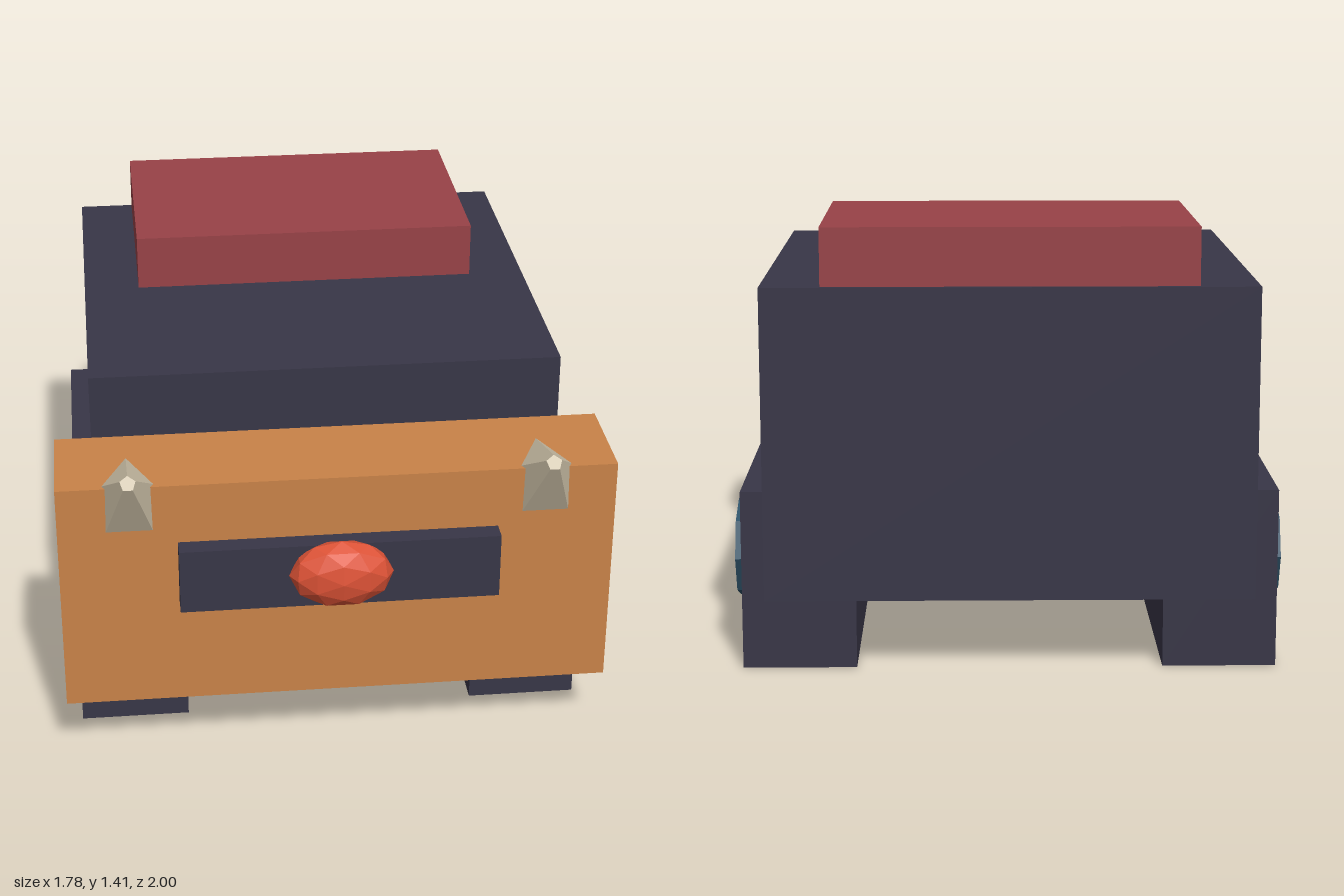
import * as THREE from 'three';

const makeMaterial = (name, color) => {
  const m = new THREE.MeshStandardMaterial({ color, flatShading: true });
  m.name = name;
  return m;
};

export function createModel() {
  const model = new THREE.Group();
  model.name = 'trackedVehicle';
  const slate = makeMaterial('darkSlate', 0x383647);
  const orange = makeMaterial('orange', 0xc98248);
  const red = makeMaterial('dullRed', 0x984247);
  const blue = makeMaterial('steelBlue', 0x2e5268);
  const bone = makeMaterial('bone', 0xcdc1a8);
  const ember = makeMaterial('emberRed', 0xdc5236);

  const add = (name, geometry, material, x = 0, y = 0, z = 0) => {
    const mesh = new THREE.Mesh(geometry, material);
    mesh.name = name;
    mesh.position.set(x, y, z);
    model.add(mesh);
    return mesh;
  };
  // Box given by its lower and upper corners
  const box = (name, material, [x0, y0, z0], [x1, y1, z1]) =>
    add(name, new THREE.BoxGeometry(x1 - x0, y1 - y0, z1 - z0), material,
      (x0 + x1) / 2, (y0 + y1) / 2, (z0 + z1) / 2);

  // Hull, roof block, front ram and its lamp bar
  box('hull', slate, [-0.77, 0.235, -1], [0.77, 1.225, 0.47]);
  box('roofBlock', red, [-0.583, 1.225, -0.985], [0.583, 1.408, -0.228]);
  box('frontRam', orange, [-0.89, 0.23, 0.493], [0.89, 1.022, 0.842]);
  box('lampBar', slate, [-0.512, 0.598, 0.842], [0.512, 0.818, 0.908]);

  // Faceted lamp
  const lamp = new THREE.IcosahedronGeometry(1, 1);
  lamp.scale(0.167, 0.116, 0.08);
  add('lamp', lamp, ember, 0, 0.72, 0.92);

  const wheel = new THREE.CylinderGeometry(0.165, 0.165, 0.1, 8);
  wheel.rotateZ(Math.PI / 2);

  // Five-sided blunt horn, ridge upwards, with its tip at the origin
  const hornLength = 0.3;
  const horn = new THREE.CylinderGeometry(0.026, 0.164, hornLength, 5, 1, false, Math.PI);
  horn.translate(0, -hornLength / 2, 0);
  horn.rotateX(THREE.MathUtils.degToRad(48));

  for (const [side, s] of [['left', 1], ['right', -1]]) {
    // Track block with three octagonal wheels
    const track = new THREE.BoxGeometry(0.36, 0.572, 1.54);
    add(side + 'Track', track, slate, s * 0.665, 0.286, -0.17);
    [0.33, -0.1, -0.533].forEach((z, i) =>
      add(side + 'Wheel' + (i + 1), wheel, blue, s * 0.84, 0.29, z));
    add(side + 'Horn', horn, bone, s * 0.663, 1.088, 0.935);
  }
  return model;
}
